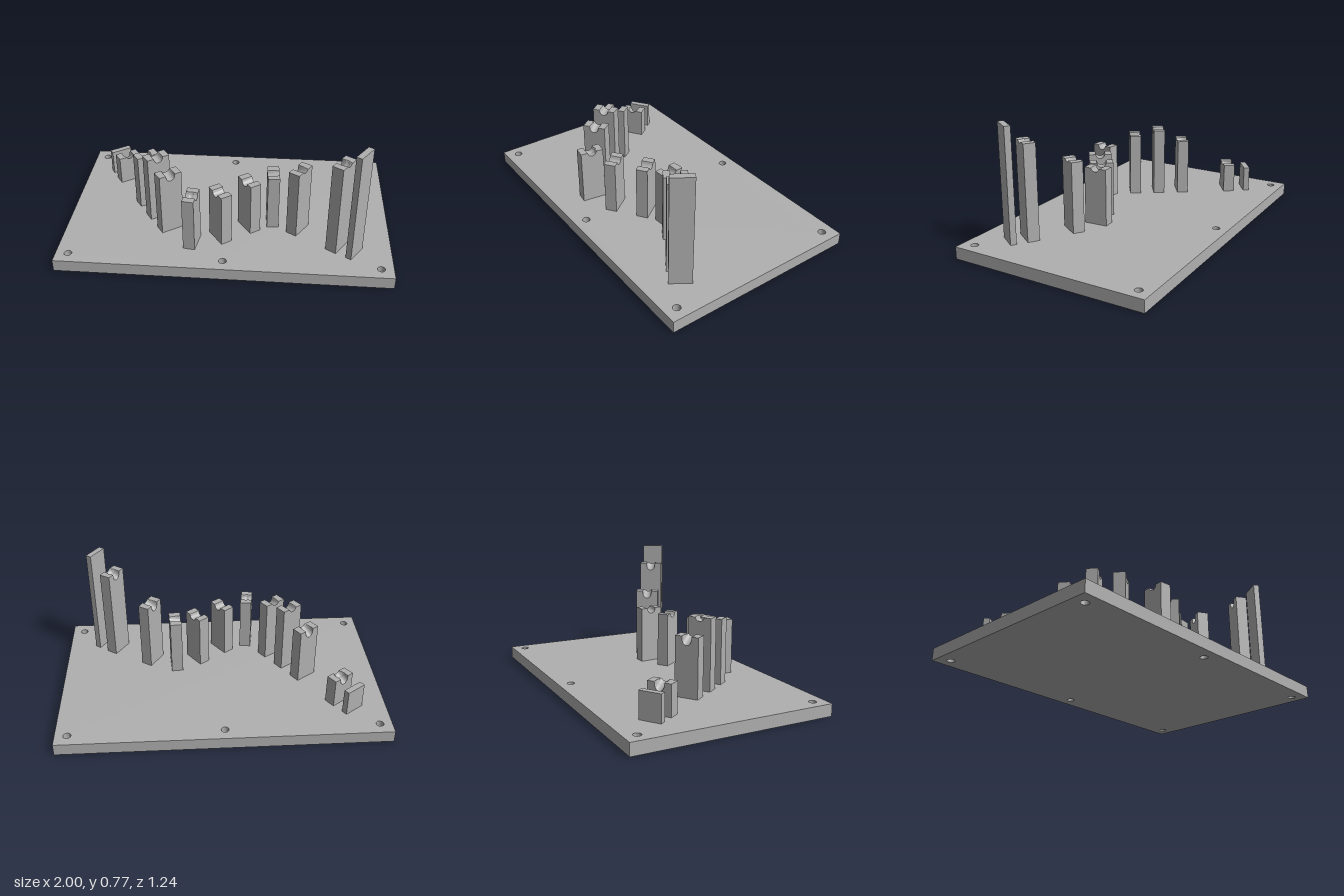
import * as THREE from 'three';

const BASE = 0.075;

export function createModel() {
  const model = new THREE.Group();
  const grey = new THREE.MeshStandardMaterial({ color: 0xb0b0b0, flatShading: true });
  grey.name = 'plainGrey';

  // Base plate with six bolt holes
  const outline = new THREE.Shape([[-1, -0.62], [1, -0.62], [1, 0.62], [-1, 0.62]].map(p => new THREE.Vector2(...p)));
  for (const x of [-0.925, 0, 0.925]) for (const z of [-0.543, 0.543]) {
    outline.holes.push(new THREE.Path().absarc(x, z, 0.023, 0, Math.PI * 2, true));
  }
  const plate = new THREE.ExtrudeGeometry(outline, { depth: BASE, bevelEnabled: false, curveSegments: 24 });
  plate.rotateX(-Math.PI / 2);
  const base = new THREE.Mesh(plate, grey);
  base.name = 'basePlate';
  model.add(base);

  // Upright block; its long side lies along (dx, dz)
  function upright(name, geometry, x, z, top, dx, dz) {
    const mesh = new THREE.Mesh(geometry, grey);
    mesh.name = name;
    mesh.position.set(x, (BASE + top) / 2, z);
    mesh.rotation.y = Math.atan2(dx, dz);
    model.add(mesh);
  }

  // Block with a sloping round groove in its top, and a ball pocket if asked
  function cradle(height, slope, pocket) {
    const g = new THREE.BoxGeometry(0.072, height, 0.145, 16, 1, 48);
    const p = g.attributes.position;
    const r = 0.028;
    for (let i = 0; i < p.count; i++) {
      if (p.getY(i) < 0) continue;
      const x = p.getX(i), z = p.getZ(i);
      let cut = 0;
      if (Math.abs(z) < r) {
        cut = Math.min(0, slope * x - Math.sqrt(r * r - z * z) * Math.hypot(1, slope));
      }
      const d = 0.031 ** 2 - x * x - z * z;
      if (pocket && d > 0) cut = Math.min(cut, -Math.sqrt(d));
      p.setY(i, height / 2 + cut);
    }
    g.computeVertexNormals();
    return g;
  }

  // x, z, top, long direction x and z, groove slope, pocket
  const posts = [
    [-0.717, -0.295, 0.26, -23, 16, 0.5, true],
    [-0.535, -0.03, 0.435, -23, 16, 0.55, false],
    [-0.445, 0.105, 0.512, -23, 16, -0.15, false],
    [-0.353, 0.235, 0.477, -23, 16, -0.3, false],
    [-0.2, 0.377, 0.42, -4, 27, 0, true],
    [-0.032, 0.31, 0.412, 16, 22, 0, false],
    [0.135, 0.19, 0.417, 15, 21, 0.05, false],
    [0.278, 0.122, 0.432, 2, 27, 0.2, false],
    [0.437, 0.193, 0.515, -14, 22, 0.5, false],
    [0.675, 0.342, 0.665, -14, 21, 0.5, true],
  ];
  posts.forEach(([x, z, top, dx, dz, slope, pocket], i) =>
    upright(`cradlePost${i + 1}`, cradle(top - BASE, slope, pocket), x, z, top, dx, dz));

  // Thin end stops
  const stops = [
    ['lowEndStop', -0.787, -0.395, 0.237, -23, 16],
    ['highEndStop', 0.775, 0.407, 0.775, -14, 21],
  ];
  for (const [name, x, z, top, dx, dz] of stops) {
    upright(name, new THREE.BoxGeometry(0.037, top - BASE, 0.135), x, z, top, dx, dz);
  }
  return model;
}
